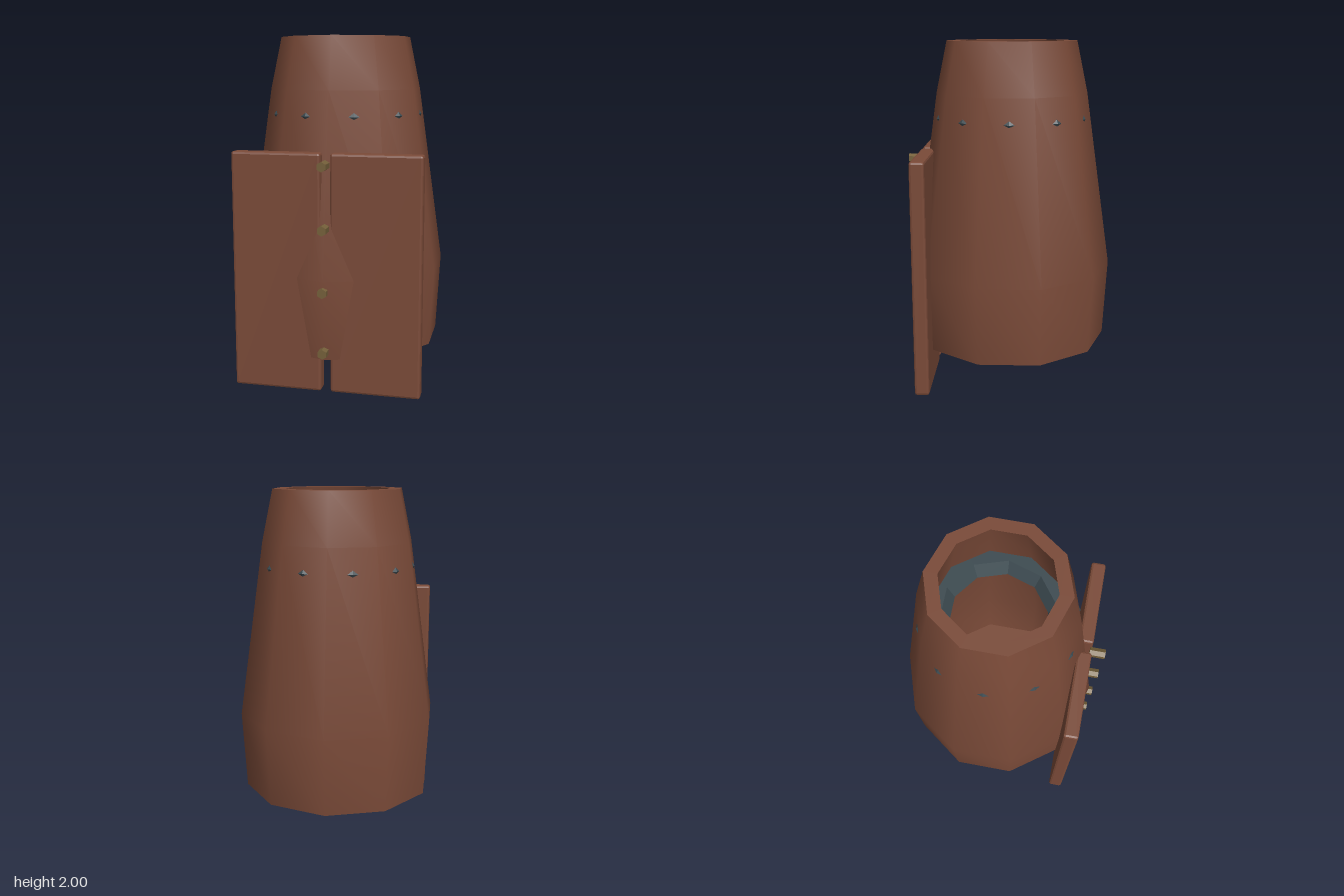
import * as THREE from 'three';
import { toCreasedNormals } from 'three/addons/utils/BufferGeometryUtils.js';
import { RoundedBoxGeometry } from 'three/addons/geometries/RoundedBoxGeometry.js';

const SIDES = 10;
const CENTRE_Z = -0.013;

export function createModel() {
  const group = new THREE.Group();
  const clay = new THREE.MeshStandardMaterial({ color: 0x7a4a38 });
  const panelClay = new THREE.MeshStandardMaterial({ color: 0x7a4a38, flatShading: true });
  const slate = new THREE.MeshStandardMaterial({ color: 0x3c4a50, flatShading: true });
  const brass = new THREE.MeshStandardMaterial({ color: 0x75603a, flatShading: true });

  const add = (name, geometry, material, x, y, z) => {
    const mesh = new THREE.Mesh(geometry, material);
    mesh.name = name;
    mesh.position.set(x, y, z);
    group.add(mesh);
    return mesh;
  };

  // Hollow ten-sided body: underside, outer wall, rim, inner wall, floor
  const profile = [
    [0, 0.2], [0.57, 0.2], [0.596, 0.66], [0.447, 1.7], [0.383, 2],
    [0.308, 2], [0.37, 1.7], [0.515, 0.66], [0.49, 0.28], [0, 0.28],
  ].map(([r, y]) => new THREE.Vector2(r, y));
  const body = toCreasedNormals(new THREE.LatheGeometry(profile, SIDES), 0.75);
  add('body', body, clay, 0, 0, CENTRE_Z);

  // Ring set in the wall, its corners just breaking through the outside
  const ring = new THREE.TorusGeometry(0.365, 0.09, 6, SIDES).rotateX(Math.PI / 2);
  add('innerRing', ring, slate, 0, 1.555, CENTRE_Z);

  // Pair of chamfered front panels
  for (const [name, side] of [['leftPanel', 1], ['rightPanel', -1]]) {
    add(name, new RoundedBoxGeometry(0.512, 1.365, 0.085, 1, 0.014), panelClay,
      side * 0.283, 0.6825, 0.4875);
  }

  // Six-sided pegs down the gap
  for (let i = 0; i < 4; i++) {
    const peg = new THREE.CylinderGeometry(0.0285, 0.0285, 0.09, 6).rotateX(Math.PI / 2);
    add('peg' + (i + 1), peg, brass, 0, 0.25 + i * 0.35, 0.563);
  }

  return group;
}
